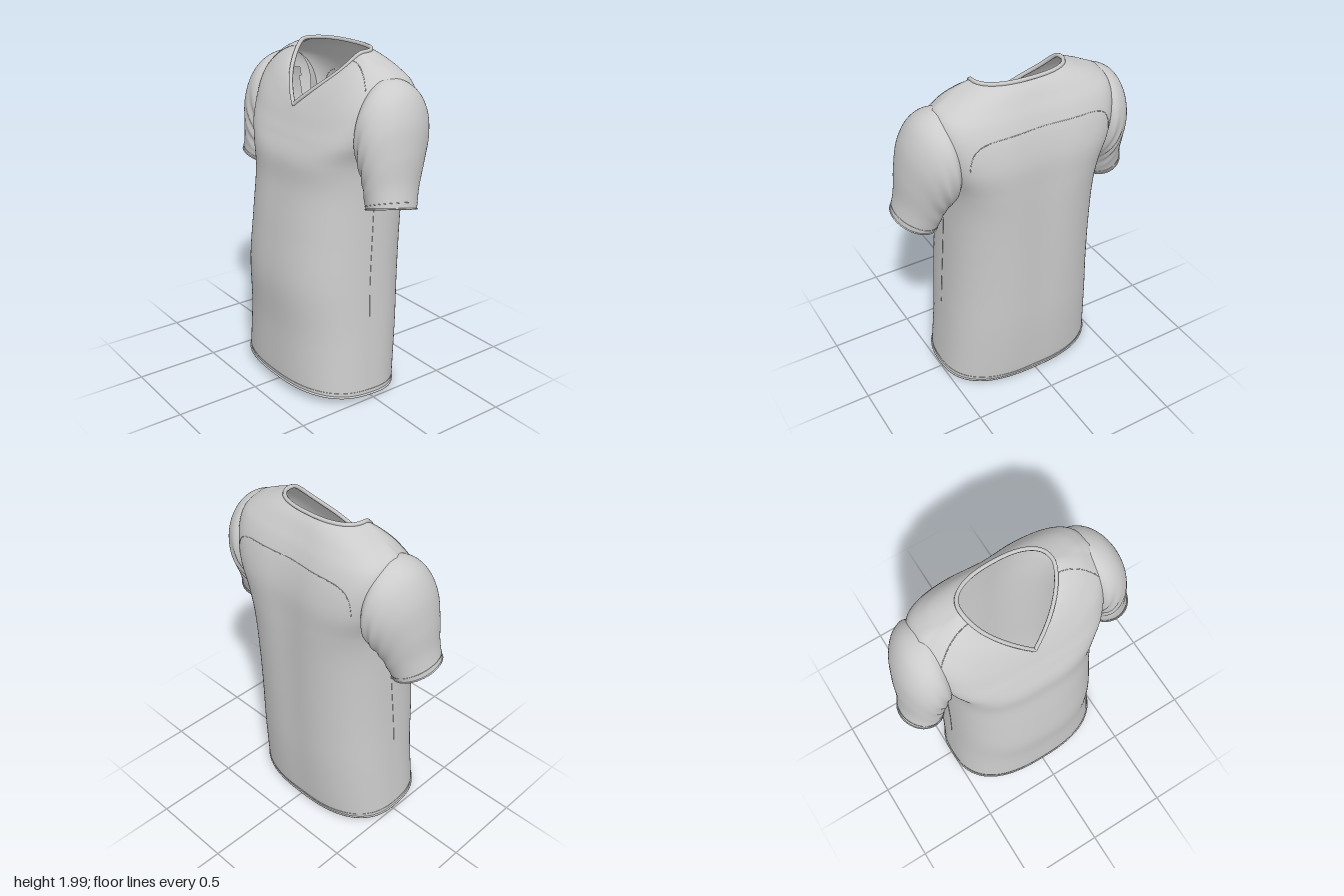
import * as THREE from 'three';

const grey = new THREE.MeshStandardMaterial({ color: 0xcccccc, side: THREE.DoubleSide });

// Smooth interpolation through rows of section parameters, t in 0..1
function sample(rows, t) {
  const f = THREE.MathUtils.clamp(t, 0, 1) * (rows.length - 1);
  const i = Math.min(Math.floor(f), rows.length - 2), k = f - i;
  const at = (n) => rows[THREE.MathUtils.clamp(n, 0, rows.length - 1)];
  return rows[0].map((_, c) => {
    const a = at(i - 1)[c], b = at(i)[c], d = at(i + 1)[c], e = at(i + 2)[c];
    return b + 0.5 * k * (d - a + k * (2 * a - 5 * b + 4 * d - e + k * (3 * (b - d) + e - a)));
  });
}

// Torso sections: half width, y front, y side, y back, z front, z side, z back, squareness, V shape
const torsoRows = [
  [0.500, 0.060, 0.036, 0.010, 0.368, 0.02, -0.310, 0.78, 0],
  [0.496, 0.120, 0.100, 0.080, 0.372, 0.02, -0.328, 0.80, 0],
  [0.477, 0.40, 0.40, 0.40, 0.372, 0.00, -0.360, 0.82, 0],
  [0.460, 0.70, 0.70, 0.70, 0.386, -0.01, -0.376, 0.82, 0],
  [0.448, 1.00, 1.00, 1.00, 0.356, -0.03, -0.388, 0.80, 0],
  [0.441, 1.25, 1.25, 1.25, 0.320, -0.05, -0.396, 0.74, 0],
  [0.448, 1.41, 1.42, 1.42, 0.308, -0.07, -0.398, 0.64, 0],
  [0.492, 1.52, 1.58, 1.58, 0.268, -0.08, -0.394, 0.56, 0],
  [0.520, 1.59, 1.75, 1.72, 0.238, -0.08, -0.366, 0.55, 0.1],
  [0.510, 1.635, 1.865, 1.82, 0.220, -0.08, -0.328, 0.58, 0.2],
  [0.445, 1.66, 1.915, 1.89, 0.210, -0.08, -0.287, 0.64, 0.4],
  [0.355, 1.675, 1.948, 1.945, 0.204, -0.08, -0.250, 0.72, 0.7],
  [0.266, 1.685, 1.982, 1.985, 0.198, -0.07, -0.212, 0.84, 1],
];

function torsoPoint(a, t) {
  const [w, yF, yS, yB, zF, zS, zB, e, v] = sample(torsoRows, t);
  const s = Math.abs(Math.sin(a)), c = Math.abs(Math.cos(a));
  const front = Math.cos(a) >= 0;
  const vee = front ? v : 0;
  const p = THREE.MathUtils.lerp(e, 1, vee);
  const sx = Math.pow(s, p), cz = Math.pow(c, p);
  const depth = THREE.MathUtils.lerp(cz, 0.6 * c + 0.4 * (1 - s), vee);
  // climb from the V to the shoulder, rounded out over the collarbone
  const rise = THREE.MathUtils.lerp(1 - cz, 0.8 * s + 0.2 * s ** 8, vee)
    + 2.2 * vee * (1 - vee) * s * s * c;
  const x = Math.sign(Math.sin(a)) * w * sx;
  const y = (front ? yF : yB) * (1 - rise) + yS * rise;
  let z = zS + ((front ? zF : zB) - zS) * depth;
  // shallow hollow down the spine
  if (!front) z += 0.02 * Math.exp(-((x / 0.13) ** 2)) * Math.sin(Math.PI * t);
  return new THREE.Vector3(x, y, z);
}

// Sleeve sections: top x, top y, bottom x, bottom y, z front, z back, tilt.
// The first section is tucked inside the torso so the shoulder runs on smoothly.
const sleeveRows = [
  [0.42, 1.880, 0.405, 1.47, 0.050, -0.210, 0],
  [0.515, 1.875, 0.425, 1.40, 0.140, -0.302, 0],
  [0.605, 1.818, 0.440, 1.34, 0.162, -0.306, 0],
  [0.668, 1.695, 0.455, 1.31, 0.162, -0.275, 0.005],
  [0.698, 1.53, 0.465, 1.27, 0.152, -0.225, 0.01],
  [0.710, 1.37, 0.475, 1.22, 0.145, -0.180, 0.02],
  [0.732, 1.25, 0.490, 1.175, 0.143, -0.148, 0.03],
];

function sleevePoint(angle, t, side) {
  const a = angle * side;
  const [tx, ty, bx, by, zF, zB, tilt] = sample(sleeveRows, t);
  const c = Math.cos(a), s = Math.sin(a), k = (1 + c) / 2;
  // soft creases fanning out of the armpit
  const crease = 0.007 * Math.sin(t * 34 + c * 3) * Math.exp(-(((c + 0.35) / 0.45) ** 2))
    * Math.sin(Math.PI * Math.min(1, t * 1.1));
  return new THREE.Vector3(
    side * THREE.MathUtils.lerp(bx, tx, k),
    THREE.MathUtils.lerp(by, ty, k) + tilt * s,
    (zF + zB) / 2 + ((zF - zB) / 2 + crease) * s);
}

// Closed-ring surface; quads whose centre satisfies skip() are left open
function loft(name, point, nu, nv, skip = () => false) {
  const pts = [], index = [];
  for (let j = 0; j <= nv; j++)
    for (let i = 0; i < nu; i++) pts.push(point((i / nu) * Math.PI * 2, j / nv));
  for (let j = 0; j < nv; j++)
    for (let i = 0; i < nu; i++) {
      const n = (i + 1) % nu;
      const a = j * nu + i, b = j * nu + n, c = b + nu, d = a + nu;
      if (!skip(pts[a].clone().add(pts[c]).multiplyScalar(0.5))) index.push(a, b, c, a, c, d);
    }
  const geo = new THREE.BufferGeometry().setFromPoints(pts);
  geo.setIndex(index);
  geo.computeVertexNormals();
  const mesh = new THREE.Mesh(geo, grey);
  mesh.name = name;
  return mesh;
}

// Piping or seam that follows a surface
function cord(name, point, radius, closed, n = 96) {
  const pts = [];
  for (let i = 0; i < n + (closed ? 0 : 1); i++) pts.push(point(i / n));
  const curve = new THREE.CatmullRomCurve3(pts, closed);
  const mesh = new THREE.Mesh(new THREE.TubeGeometry(curve, n * 2, radius, 6, closed), grey);
  mesh.name = name;
  return mesh;
}

export function createModel() {
  const shirt = new THREE.Group();
  shirt.name = 'shirt';
  const TAU = Math.PI * 2;

  // Torso with open armholes
  const armhole = (p) => Math.abs(p.x) > 0.45 && p.y > 1.5 && p.y < 1.76 && p.z > -0.2 && p.z < 0.04;
  shirt.add(loft('torso', torsoPoint, 144, 96, armhole));

  // Neckband, hem edge and hem stitching
  shirt.add(cord('neckband', (u) => torsoPoint(u * TAU, 1), 0.012, true));
  shirt.add(cord('hemEdge', (u) => torsoPoint(u * TAU, 0), 0.007, true));
  shirt.add(cord('hemStitching', (u) => torsoPoint(u * TAU, 0.06), 0.002, true));

  // Yoke seam across the back, dropping towards the armholes
  shirt.add(cord('backYokeSeam', (u) => {
    const k = u * 2 - 1;
    return torsoPoint(Math.PI + k * 0.85, 0.7 - 0.1 * k ** 4);
  }, 0.002, false));

  for (const side of [1, -1]) {
    const label = side > 0 ? 'left' : 'right';
    // Sleeve with cuff edge and stitching
    const point = (a, t) => sleevePoint(a, t, side);
    shirt.add(loft(label + 'Sleeve', point, 72, 60));
    shirt.add(cord(label + 'CuffEdge', (u) => point(u * TAU, 1), 0.005, true, 48));
    shirt.add(cord(label + 'CuffStitching', (u) => point(u * TAU, 0.94), 0.002, true, 48));
    // Side seam and front yoke seam
    shirt.add(cord(label + 'SideSeam', (u) => torsoPoint(side * 1.55, 0.2 + u * 0.24), 0.002, false, 32));
    shirt.add(cord(label + 'FrontYokeSeam', (u) => torsoPoint(side * (1.22 - 0.1 * u), 1 - u * 0.26), 0.002, false, 32));
  }
  return shirt;
}
